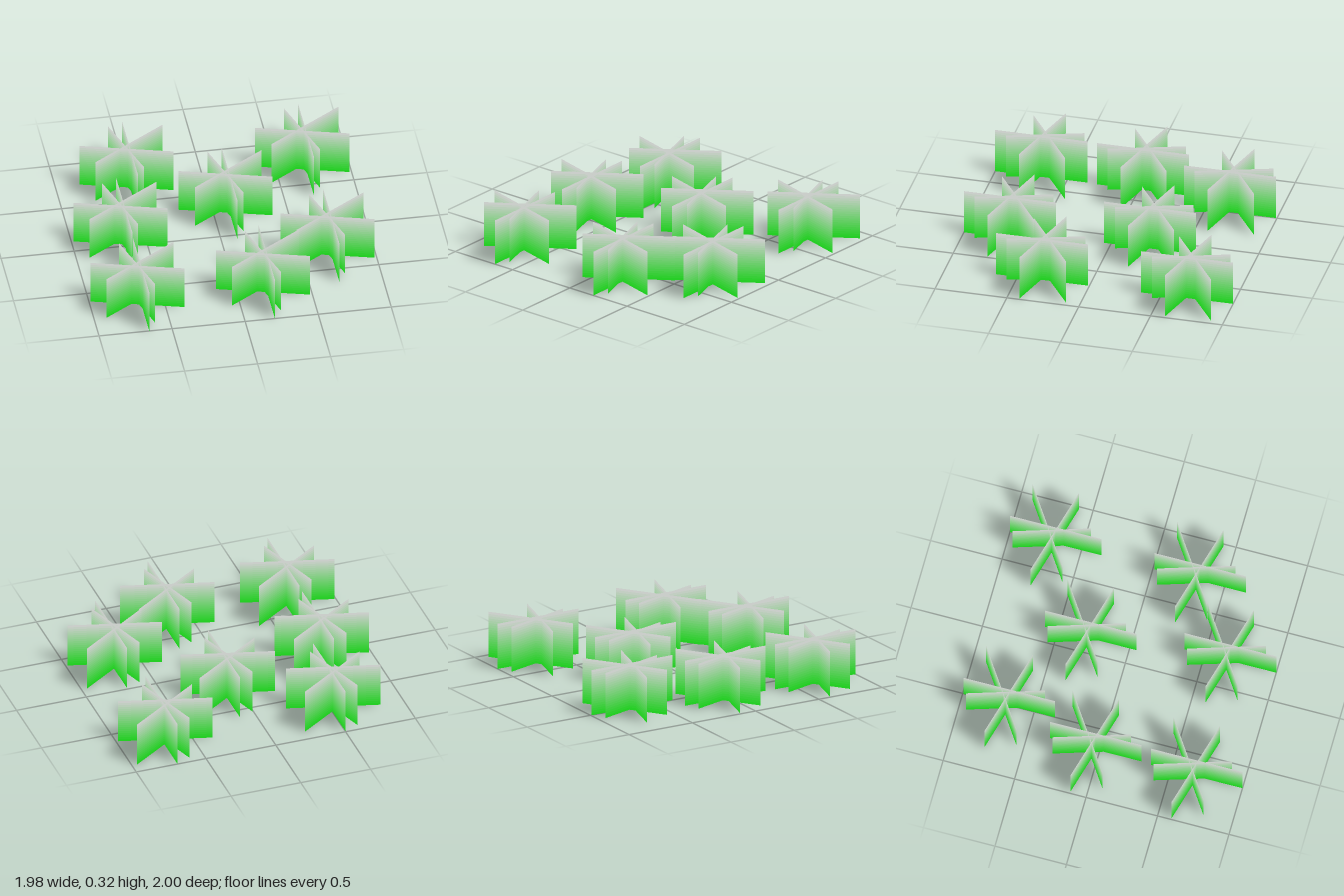
import * as THREE from 'three';

const HEIGHT = 0.32;
const BANDS = 20;
const HALF_THICKNESS = 0.001;

// Blades of one tuft: [x, z] of both ends, seen from above
const BLADES = [
  [[-0.215, 0.15], [0.303, -0.203]],
  [[-0.29, -0.055], [0.325, 0.115]],
  [[0.043, -0.29], [0.045, 0.35]],
  [[-0.06, -0.245], [0.1, 0.262]],
];

// Ground positions [x, z] of the tufts
const TUFTS = [
  [-0.545, -0.703], [-0.695, -0.058], [-0.7, 0.65], [0.066, -0.302],
  [0.66, -0.71], [0.16, 0.65], [0.66, 0.3],
];

// Grey tips fading to green roots, one material per band from the top down
function makeFade() {
  return Array.from({ length: BANDS }, (_, i) => {
    const redBlue = THREE.MathUtils.lerp(0.8, 0.08, (i + 0.5) / BANDS);
    const color = new THREE.Color().setRGB(redBlue, 0.8, redBlue, THREE.SRGBColorSpace);
    return new THREE.MeshStandardMaterial({ color });
  });
}

// One face of a thin sheet between two ground points, lit from above like the ground
function makeFace([x0, z0], [x1, z1], fade) {
  const dx = x1 - x0, dz = z1 - z0;
  const geometry = new THREE.PlaneGeometry(Math.hypot(dx, dz), HEIGHT, 1, BANDS);
  const normal = geometry.attributes.normal;
  for (let i = 0; i < normal.count; i++) normal.setXYZ(i, 0, 1, 0);
  for (let i = 0; i < BANDS; i++) geometry.addGroup(i * 6, 6, i);
  const face = new THREE.Mesh(geometry, fade);
  face.position.set((x0 + x1) / 2, HEIGHT / 2, (z0 + z1) / 2);
  face.rotation.y = -Math.atan2(dz, dx);
  face.translateZ(HALF_THICKNESS);
  face.name = 'grassBlade';
  return face;
}

export function createModel() {
  const model = new THREE.Group();
  model.name = 'grassPatch';
  const fade = makeFade();

  // Identical tufts of crossed sheets, each sheet with a front and a back face
  for (const [x, z] of TUFTS) {
    const tuft = new THREE.Group();
    tuft.name = 'grassTuft';
    for (const [start, end] of BLADES) {
      tuft.add(makeFace(start, end, fade), makeFace(end, start, fade));
    }
    tuft.position.set(x, 0, z);
    model.add(tuft);
  }
  return model;
}
